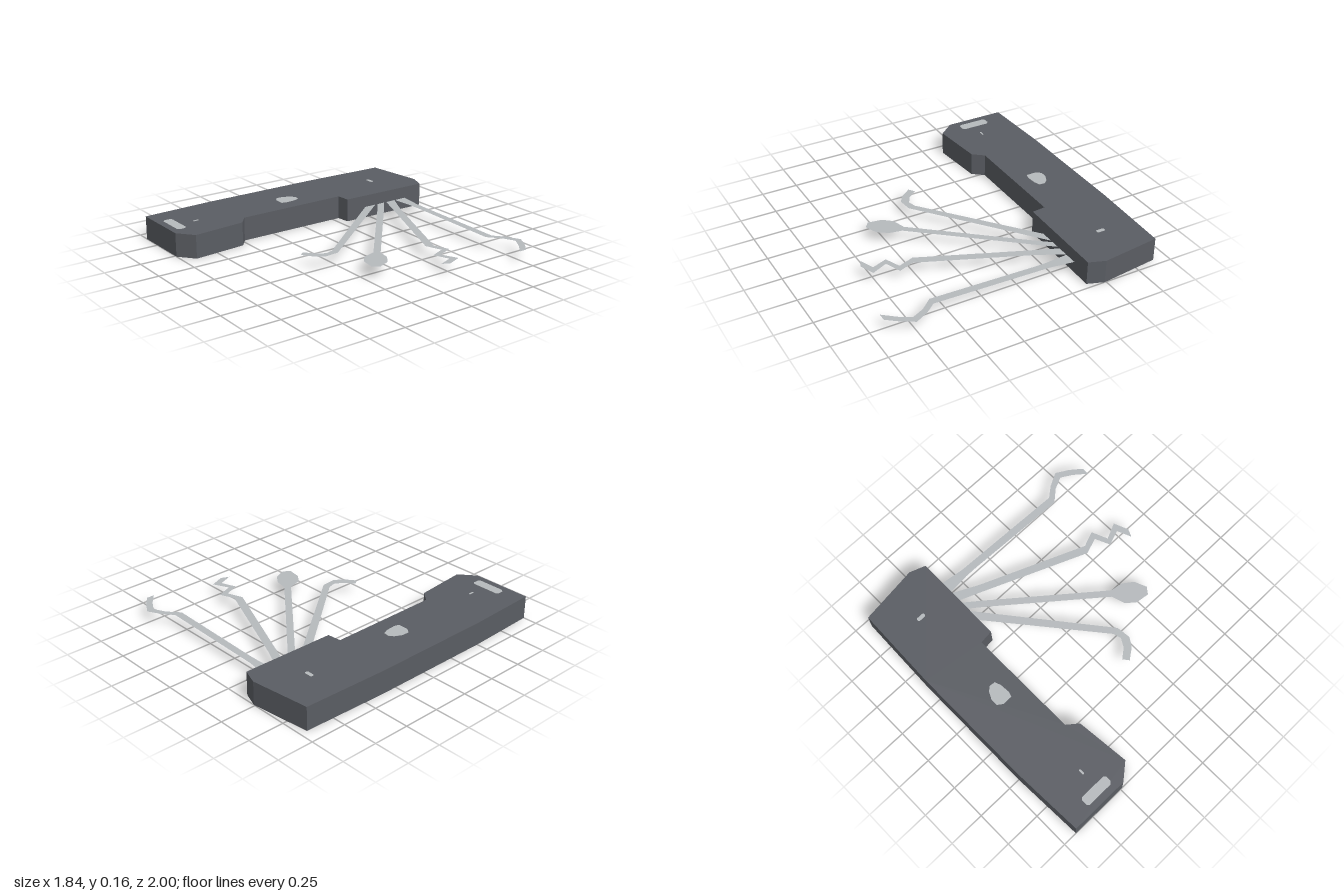
import * as THREE from 'three';

const HEIGHT = 0.162;   // handle thickness
const PICK_Y = 0.08;    // level of the fanned blades

// Shape from [x, z] plan points (laid flat by the rotation below)
const plan = (pts) => new THREE.Shape(pts.map(([x, z]) => new THREE.Vector2(x, -z)));

function slab(name, pts, y, depth, material) {
  const geo = new THREE.ExtrudeGeometry(plan(pts), { depth, bevelEnabled: false });
  const mesh = new THREE.Mesh(geo.rotateX(-Math.PI / 2), material);
  mesh.name = name;
  mesh.position.y = y;
  return mesh;
}

function sheet(name, pts, y, material) {
  const mesh = new THREE.Mesh(new THREE.ShapeGeometry(plan(pts)).rotateX(-Math.PI / 2), material);
  mesh.name = name;
  mesh.position.y = y;
  return mesh;
}

// Rectangle with cut corners, in plan
const chamfered = (cx, cz, w, d, c) => [
  [-w + c, -d], [w - c, -d], [w, -d + c], [w, d - c],
  [w - c, d], [-w + c, d], [-w, d - c], [-w, -d + c],
].map(([x, z]) => [cx + x, cz + z]);

export function createModel() {
  const group = new THREE.Group();
  group.name = 'foldingPickSet';

  const casing = new THREE.MeshStandardMaterial({ color: 0x5a5d63 });
  casing.name = 'dark grey casing';
  const steel = new THREE.MeshStandardMaterial({ color: 0xb6babd, side: THREE.DoubleSide });
  steel.name = 'light steel';

  // Handle with a recess along its inner edge
  group.add(slab('handle', [
    [-0.9, -0.95], [-0.49, -1], [-0.38, -0.96], [-0.39, -0.31],
    [-0.485, -0.3], [-0.485, 0.48], [-0.41, 0.54], [-0.375, 0.91],
    [-0.485, 1], [-0.9, 1], [-0.92, 0.5], [-0.92, -0.36],
  ], 0, HEIGHT, casing));

  // Fanned flat blades
  const blades = {
    hookPick: [
      [-0.38, -0.82], [-0.21, -0.797], [0.59, -0.773], [0.66, -0.83], [0.755, -0.88],
      [0.84, -0.83], [0.915, -0.77], [0.915, -0.715], [0.83, -0.785], [0.755, -0.83],
      [0.67, -0.79], [0.59, -0.72], [-0.12, -0.743], [-0.22, -0.743], [-0.38, -0.73],
    ],
    zigzagPick: [
      [-0.38, -0.725], [-0.2, -0.635], [0.51, -0.34], [0.615, -0.38], [0.66, -0.27],
      [0.77, -0.32], [0.81, -0.22], [0.785, -0.165], [0.745, -0.265], [0.64, -0.225],
      [0.595, -0.33], [0.485, -0.29], [-0.22, -0.585], [-0.38, -0.65],
    ],
    paddlePick: [
      [-0.38, -0.63], [-0.26, -0.535], [0.405, 0.015], [0.49, 0.03], [0.56, 0.08],
      [0.595, 0.165], [0.56, 0.21], [0.465, 0.195], [0.405, 0.145], [0.375, 0.05],
      [-0.29, -0.5], [-0.38, -0.57],
    ],
    curvedPick: [
      [-0.38, -0.55], [-0.3, -0.45], [0.245, 0.235], [0.255, 0.335], [0.215, 0.395],
      [0.14, 0.45], [0.11, 0.41], [0.175, 0.36], [0.21, 0.3], [0.195, 0.245],
      [-0.38, -0.46],
    ],
  };
  for (const [name, pts] of Object.entries(blades)) group.add(sheet(name, pts, PICK_Y, steel));

  // Bright inlays on the top face: centre boss, end bar and two small nicks
  const inlays = {
    centreInlay: [
      [-0.68, -0.02], [-0.65, -0.045], [-0.61, -0.04], [-0.595, 0], [-0.59, 0.07],
      [-0.6, 0.105], [-0.67, 0.105], [-0.705, 0.08], [-0.705, 0.03],
    ],
    endBar: chamfered(-0.643, 0.92, 0.107, 0.034, 0.015),
    upperNick: chamfered(-0.65, -0.706, 0.03, 0.013, 0.006),
    lowerNick: chamfered(-0.625, 0.77, 0.006, 0.02, 0.003),
  };
  for (const [name, pts] of Object.entries(inlays)) {
    group.add(slab(name, pts, HEIGHT - 0.001, 0.003, steel));
  }

  return group;
}
